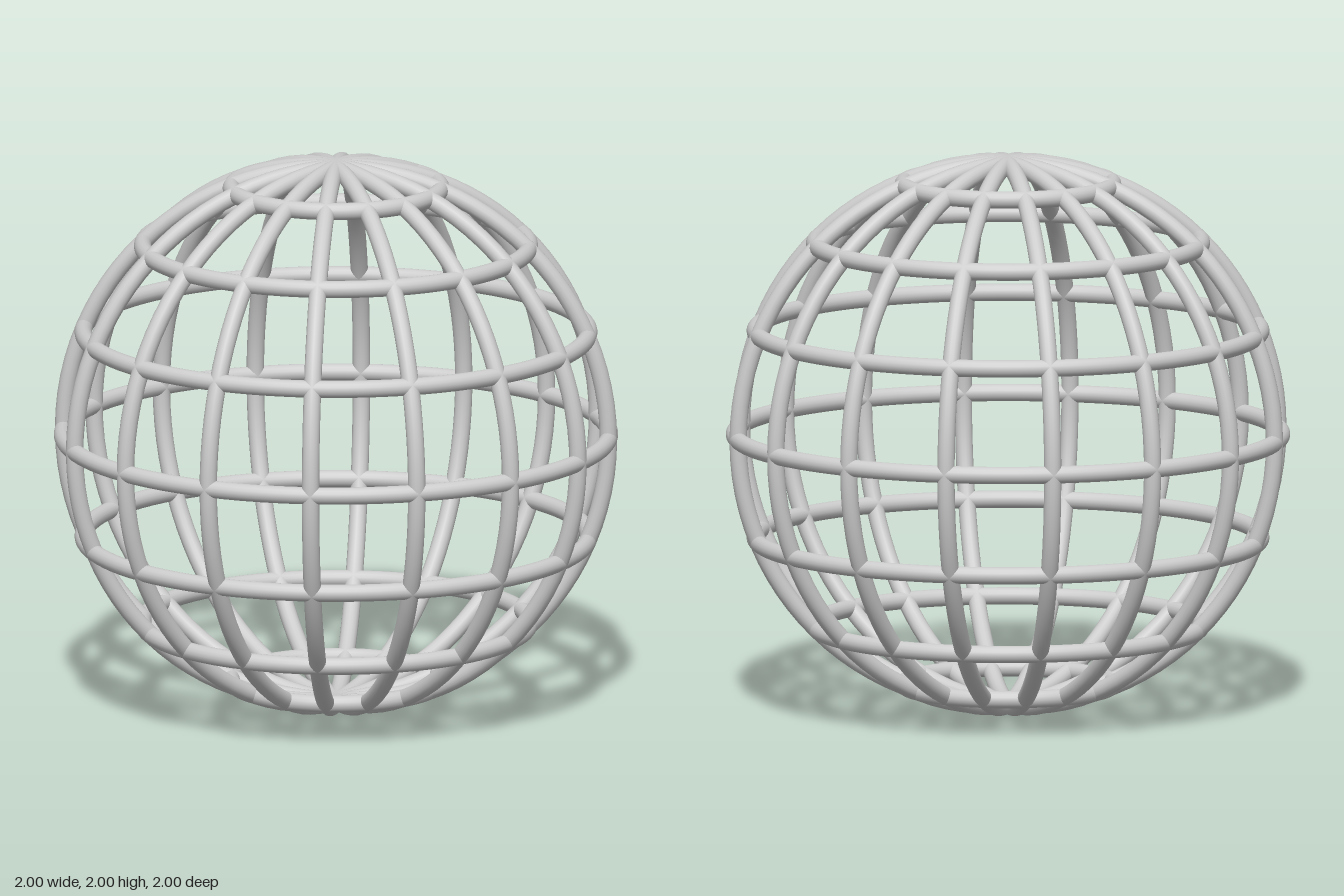
import * as THREE from 'three';

const TUBE = 0.031;        // bar radius
const R = 1 - TUBE;        // radius of the bar centre lines
const STEP = Math.PI / 8;  // spacing of meridians and parallels

export function createModel() {
  const group = new THREE.Group();
  group.name = 'sphereCage';
  const material = new THREE.MeshStandardMaterial({ color: 0xcccccc });

  const addRing = (name, radius) => {
    const ring = new THREE.Mesh(new THREE.TorusGeometry(radius, TUBE, 16, 96), material);
    ring.name = name;
    group.add(ring);
    return ring;
  };

  // Meridians: full vertical hoops crossing at both poles
  for (let i = 0; i < 8; i++) {
    const hoop = addRing('meridianHoop' + (i + 1), R);
    hoop.position.y = 1;
    hoop.rotation.y = i * STEP;
  }

  // Parallels: level hoops from near the bottom pole to near the top pole
  for (let i = -3; i <= 3; i++) {
    const hoop = addRing('parallelHoop' + (i + 4), R * Math.cos(i * STEP));
    hoop.position.y = 1 + R * Math.sin(i * STEP);
    hoop.rotation.x = Math.PI / 2;
  }
  return group;
}
